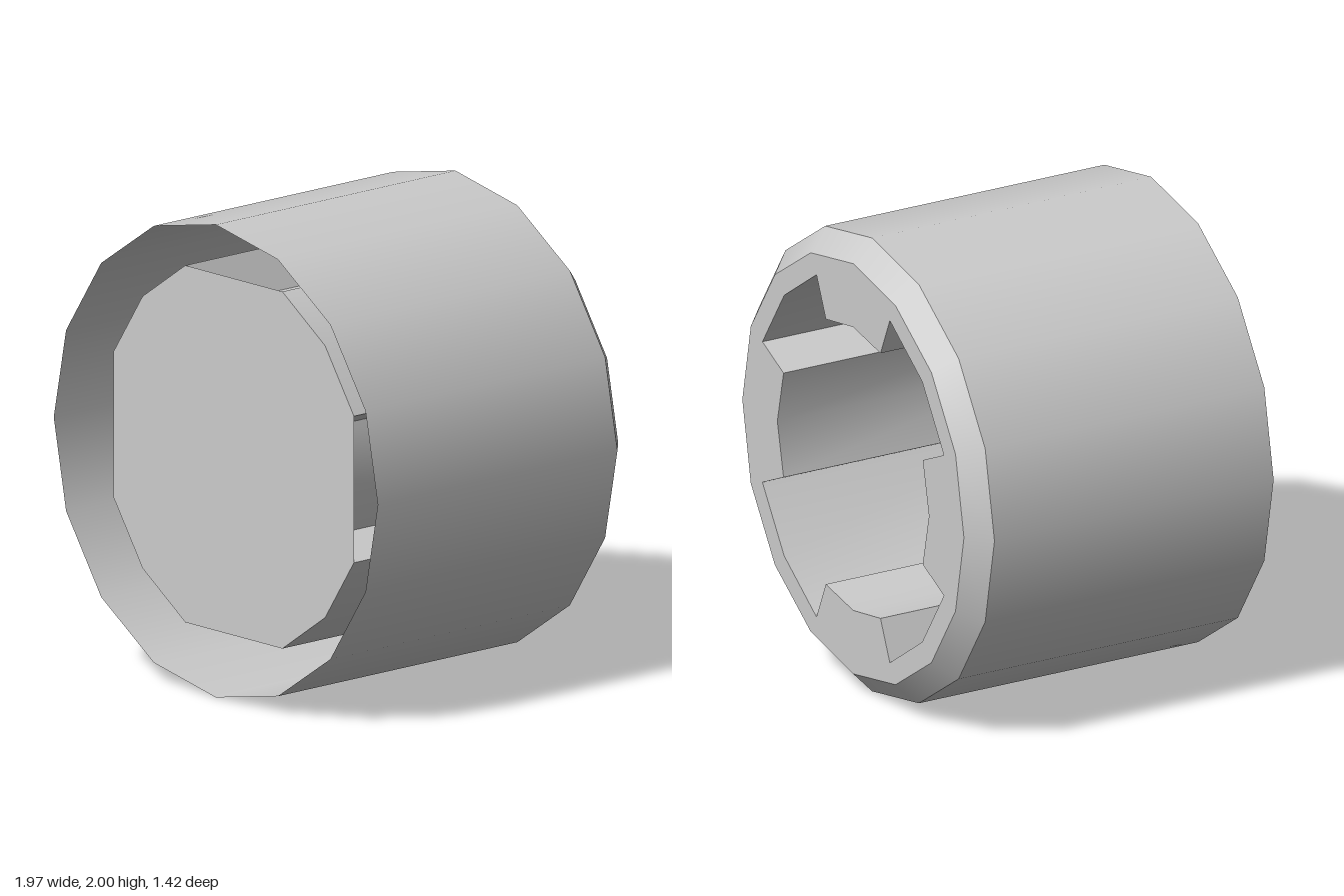
import * as THREE from 'three';
import { toCreasedNormals } from 'three/addons/utils/BufferGeometryUtils.js';

const BACK = -0.71, BEVEL = -0.62, FRONT = 0.71, PLATE = 0.61;
const RX = 0.985, BEVEL_SCALE = 0.905, SIDES = 16;

// One quadrant of the keyed socket, from the +x tooth tip round to the +y tooth tip
const QUADRANT = [
  [0.61, 0], [0.56, 0.23], [0.73, 0.31], [0.555, 0.575],
  [0.295, 0.755], [0.22, 0.585], [0, 0.625],
];

// Mirror quadrant points into a full counter-clockwise loop
function mirrorLoop(q) {
  const half = [...q, ...q.slice().reverse().map(([x, y]) => [-x, y])];
  const all = [...half, ...half.slice().reverse().map(([x, y]) => [x, -y])];
  return all
    .filter(([x, y], i) => {
      const [px, py] = all[(i + all.length - 1) % all.length];
      return Math.hypot(x - px, y - py) > 1e-6;
    })
    .map(([x, y]) => new THREE.Vector2(x, y));
}

// Open wall following a closed loop between two depths
function wallGeometry(loop, z0, z1) {
  const pos = [], index = [], n = loop.length;
  loop.forEach((p) => pos.push(p.x, p.y, z0, p.x, p.y, z1));
  for (let i = 0; i < n; i++) {
    const a = 2 * i, b = 2 * ((i + 1) % n);
    index.push(a, b, b + 1, a, b + 1, a + 1);
  }
  const geo = new THREE.BufferGeometry();
  geo.setAttribute('position', new THREE.Float32BufferAttribute(pos, 3));
  geo.setIndex(index);
  return toCreasedNormals(geo, 0.6);
}

// Open smooth band along z, slightly narrower in x
function bandGeometry(rFront, rBack, zFront, zBack) {
  return new THREE.CylinderGeometry(rFront, rBack, zFront - zBack, SIDES, 1, true)
    .rotateX(Math.PI / 2)
    .scale(RX, 1, 1)
    .translate(0, 0, (zFront + zBack) / 2);
}

export function createModel() {
  const group = new THREE.Group();
  const material = new THREE.MeshStandardMaterial({ color: 0xcccccc, side: THREE.DoubleSide });
  const add = (name, geo) => {
    const mesh = new THREE.Mesh(geo, material);
    mesh.name = name;
    mesh.position.y = 1;
    group.add(mesh);
  };

  // Outer shell, open at the front, with a bevelled back edge
  add('outerShell', bandGeometry(1, 1, FRONT, BEVEL));
  add('backBevel', bandGeometry(1, BEVEL_SCALE, BEVEL, BACK));

  // Back face pierced by the socket opening
  const socket = mirrorLoop(QUADRANT);
  const rim = [];
  for (let i = 0; i < SIDES; i++) {
    const a = (i / SIDES) * Math.PI * 2;
    rim.push(new THREE.Vector2(Math.cos(a) * RX * BEVEL_SCALE, Math.sin(a) * BEVEL_SCALE));
  }
  const face = new THREE.Shape(rim);
  face.holes.push(new THREE.Path(socket));
  // Turned to face -z; the outline is symmetric
  add('backFace', new THREE.ShapeGeometry(face).rotateY(Math.PI).translate(0, 0, BACK));

  // Thin socket wall with four inward teeth
  add('socketWall', wallGeometry(socket, BACK, PLATE));

  // Thin plate closing the socket, set back from the front edge
  const plate = new THREE.Shape(mirrorLoop(QUADRANT.slice(2, 5)));
  add('frontPlate', new THREE.ShapeGeometry(plate).translate(0, 0, PLATE));

  return group;
}
